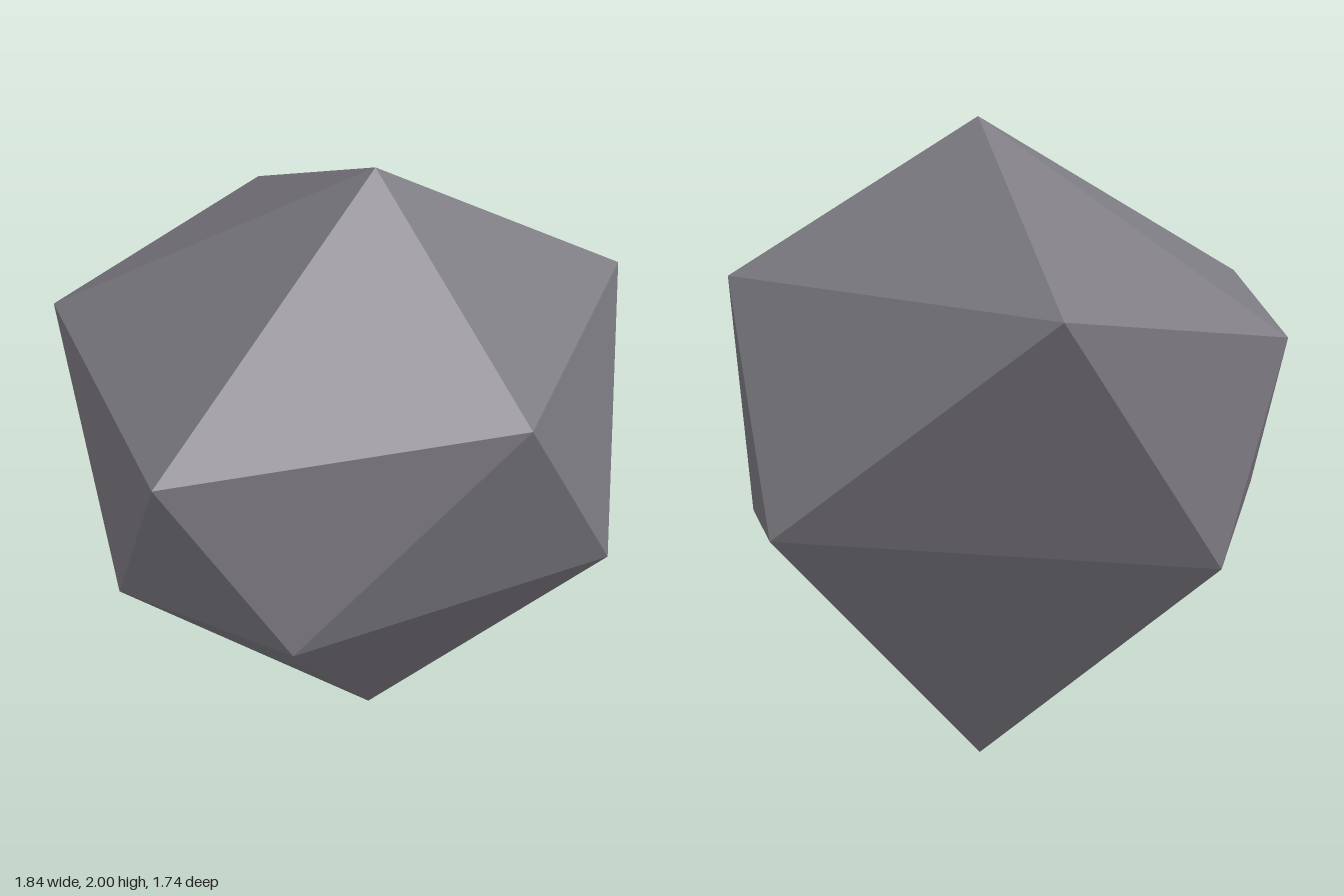
import * as THREE from 'three';

// Irregular twenty-sided rock: two five-point rings capped by two tips
const top = [0.10, 2.0, 0.06];
const bottom = [0.14, 0, -0.09];

// Rings run counterclockwise seen from above; lower[i] sits between upper[i] and upper[i + 1]
const upper = [
  [-0.92, 1.36, 0.65], [0.29, 1.42, 0.87], [0.90, 1.52, 0.13],
  [0.10, 1.495, -0.87], [-0.72, 1.36, -0.59],
];
const lower = [
  [-0.47, 0.71, 0.73], [0.70, 0.70, 0.51], [0.915, 0.755, -0.37],
  [-0.48, 0.645, -0.66], [-0.84, 0.76, 0.21],
];

function rockGeometry() {
  const corners = [];
  for (let i = 0; i < 5; i++) {
    const j = (i + 1) % 5;
    corners.push(
      top, upper[i], upper[j],       // crown facet
      upper[i], lower[i], upper[j],  // band facet pointing down
      lower[i], lower[j], upper[j],  // band facet pointing up
      bottom, lower[j], lower[i],    // underside facet
    );
  }
  const geometry = new THREE.BufferGeometry();
  geometry.setAttribute('position', new THREE.Float32BufferAttribute(corners.flat(), 3));
  geometry.computeVertexNormals();
  return geometry;
}

export function createModel() {
  const stone = new THREE.MeshStandardMaterial({ color: 0x7d7b82, flatShading: true });
  stone.name = 'grey stone';

  const rock = new THREE.Mesh(rockGeometry(), stone);
  rock.name = 'rock';

  const model = new THREE.Group();
  model.name = 'facetedRock';
  model.add(rock);
  return model;
}
